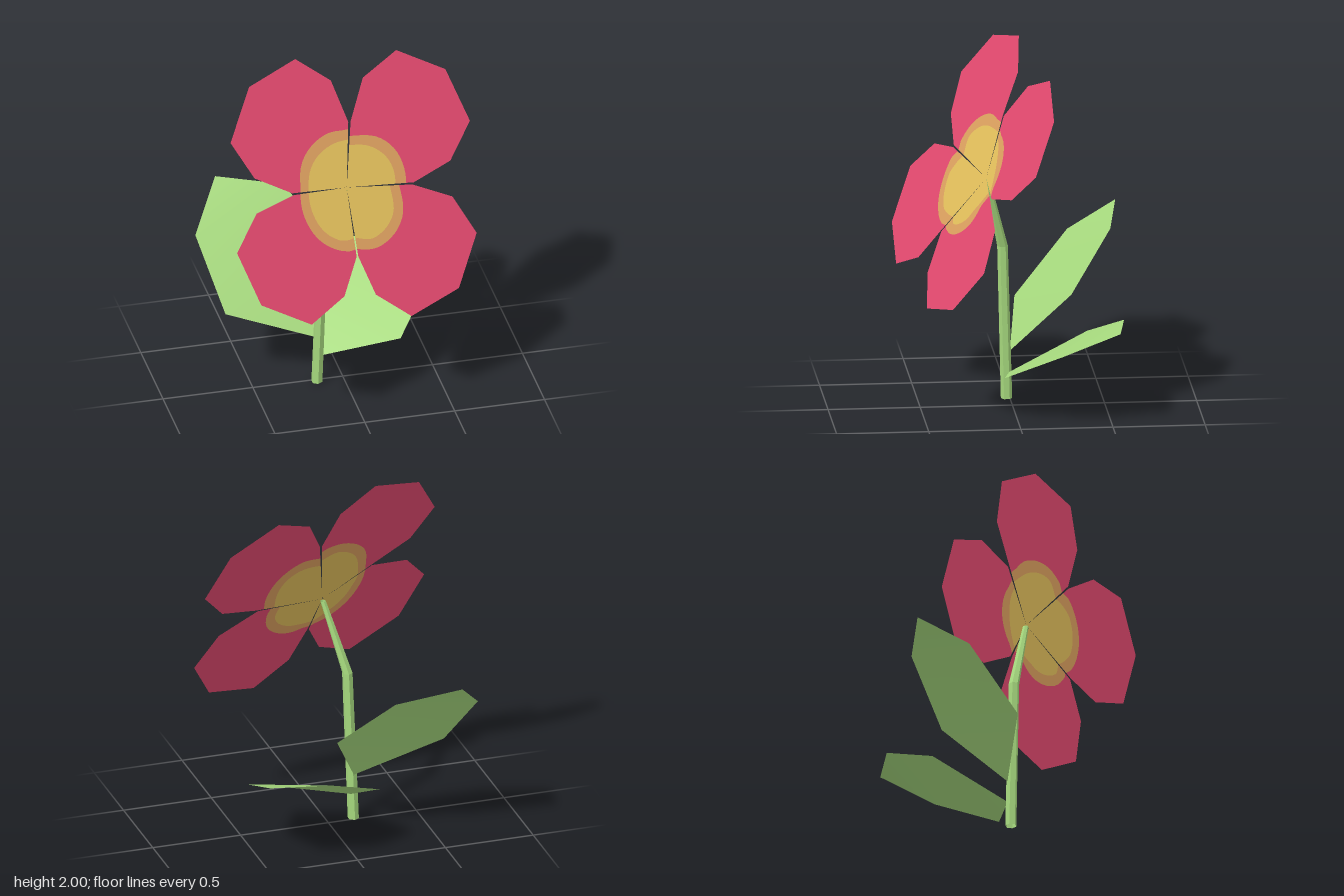
import * as THREE from 'three';

const mat = (name, color) => {
  const m = new THREE.MeshStandardMaterial({ color, side: THREE.DoubleSide });
  m.name = name;
  return m;
};

// Centre of the bloom, and the tilted plane in which the outer petals lie
const CX = -0.012, CY = 1.272, CZ = 0.14;
const outerPlane = (x, y) => 0.873 - 0.275 * x - 0.5 * y;
const bloomNormal = new THREE.Vector3(0.275, 0.5, 1).normalize().toArray();

// outline: petal corners clockwise as [x, y]; radii: edge of the gold patch
function petal(outline, radii, materials) {
  const rel = outline.map(([x, y]) => [x - CX, y - CY]);
  const first = rel[0], last = rel[rel.length - 1];
  const angleFrom = p => Math.acos(Math.min(1,
    (p[0] * first[0] + p[1] * first[1]) / Math.hypot(...p) / Math.hypot(...first)));
  const sweep = angleFrom(last);

  // Inner plane dips from the two base corners to the centre
  const d1 = outerPlane(...outline[0]) - CZ;
  const d2 = outerPlane(...outline[outline.length - 1]) - CZ;
  const det = first[0] * last[1] - first[1] * last[0];
  const a = (d1 * last[1] - d2 * first[1]) / det;
  const b = (first[0] * d2 - last[0] * d1) / det;
  const height = (x, y) => Math.min(outerPlane(x, y), CZ + a * (x - CX) + b * (y - CY));

  // Points along the outline, with the corners kept
  const SUB = 4, rim = [];
  for (let i = 0; i < rel.length - 1; i++) {
    for (let s = 0; s < SUB; s++) {
      const t = s / SUB;
      rim.push([0, 1].map(k => rel[i][k] * (1 - t) + rel[i + 1][k] * t));
    }
  }
  rim.push(last);

  // Rings: gold heart, orange border, then the petal blade
  const HEART = [0.3, 0.6, 0.8, 0.9, 1], BLADE = [0.08, 0.2, 0.5, 1];
  const patch = new THREE.SplineCurve(radii.map(r => new THREE.Vector2(0, r)));
  const rows = rim.map(p => {
    const len = Math.hypot(...p);
    const edge = patch.getPoint(Math.min(1, angleFrom(p) / sweep)).y;
    const reach = [...HEART.map(f => f * edge * 0.82), edge,
      ...BLADE.map(f => edge + (len - edge) * f)];
    return reach.map(r => {
      const x = CX + p[0] / len * r, y = CY + p[1] / len * r;
      return [x, y, height(x, y)];
    });
  });
  const rings = rows[0].length, n = rim.length;
  const pos = [CX, CY, CZ], index = [];
  for (let k = 0; k < rings; k++) rows.forEach(row => pos.push(...row[k]));
  for (let i = 0; i < n - 1; i++) index.push(0, 2 + i, 1 + i);
  for (let k = 0; k < rings - 1; k++) {
    for (let i = 0; i < n - 1; i++) {
      const p = 1 + k * n + i, q = p + n;
      index.push(p, p + 1, q, p + 1, q + 1, q);
    }
  }
  const g = new THREE.BufferGeometry();
  g.setAttribute('position', new THREE.Float32BufferAttribute(pos, 3));
  // One shared normal keeps the four petals evenly shaded
  const normals = Array.from({ length: pos.length / 3 }, () => bloomNormal).flat();
  g.setAttribute('normal', new THREE.Float32BufferAttribute(normals, 3));
  g.setIndex(index);
  const strip = (n - 1) * 6, heartEnd = strip * (HEART.length - 0.5);
  g.addGroup(0, heartEnd, 0);
  g.addGroup(heartEnd, strip, 1);
  g.addGroup(heartEnd + strip, strip * BLADE.length, 2);
  return new THREE.Mesh(g, materials);
}

// Leaf blade, bent across its width: base, two pairs of side corners, tip
function leaf(points, material) {
  const g = new THREE.BufferGeometry();
  g.setAttribute('position', new THREE.Float32BufferAttribute(points.flat(), 3));
  g.setIndex([0, 1, 2, 1, 3, 2, 2, 3, 4, 3, 5, 4]);
  g.computeVertexNormals();
  return new THREE.Mesh(g, material);
}

// Faceted open stem from [x, y, z, radius] stations
function stem(stations, sides, material) {
  const pos = [], index = [];
  stations.forEach(([x, y, z, r], k) => {
    for (let i = 0; i < sides; i++) {
      const t = (i + 0.5) / sides * Math.PI * 2;
      pos.push(x + Math.cos(t) * r, y, z + Math.sin(t) * r);
      if (k === 0) continue;
      const j = (i + 1) % sides, lo = (k - 1) * sides, hi = k * sides;
      index.push(lo + i, hi + i, lo + j, lo + j, hi + i, hi + j);
    }
  });
  const g = new THREE.BufferGeometry();
  g.setAttribute('position', new THREE.Float32BufferAttribute(pos, 3));
  g.setIndex(index);
  const flat = g.toNonIndexed();
  flat.computeVertexNormals();
  return new THREE.Mesh(flat, material);
}

export function createModel() {
  const model = new THREE.Group();
  model.name = 'flower';
  const green = mat('leaf green', 0xa7da7e);
  const bloomColours = [
    mat('heart gold', 0xe3c05c),
    mat('border orange', 0xdca05f),
    mat('petal pink', 0xe3496f),
  ];
  const add = (name, mesh, parent = model) => {
    mesh.name = name;
    parent.add(mesh);
  };

  // Four petals
  const bloom = new THREE.Group();
  bloom.name = 'bloom';
  model.add(bloom);
  add('upperRightPetal', petal([[-0.35, 1.368], [-0.56, 1.49], [-0.677, 1.69], [-0.535, 1.93],
    [-0.25, 2.0], [-0.057, 1.85], [0.018, 1.63]], [0.3, 0.35, 0.35, 0.32], bloomColours), bloom);
  add('upperLeftPetal', petal([[0.032, 1.63], [0.13, 1.82], [0.34, 1.905], [0.613, 1.748],
    [0.723, 1.47], [0.585, 1.308], [0.36, 1.255]], [0.28, 0.31, 0.33, 0.33], bloomColours), bloom);
  add('lowerLeftPetal', petal([[0.35, 1.247], [0.575, 1.135], [0.692, 0.93], [0.555, 0.693],
    [0.263, 0.625], [0.07, 0.775], [-0.008, 0.98]], [0.29, 0.33, 0.31, 0.26], bloomColours), bloom);
  add('lowerRightPetal', petal([[-0.018, 0.98], [-0.113, 0.81], [-0.32, 0.72], [-0.6, 0.88],
    [-0.708, 1.16], [-0.57, 1.32], [-0.345, 1.358]], [0.26, 0.26, 0.275, 0.3], bloomColours), bloom);

  // Bent stem
  add('stem', stem([[-0.148, 0, 0.018, 0.031], [-0.122, 0.86, 0.042, 0.029],
    [-0.015, 1.262, 0.136, 0.016]], 6, green));

  // Two leaves reaching backward
  add('rightLeaf', leaf([[-0.145, 0.265, 0], [0.055, 0.625, -0.315], [-0.635, 0.44, -0.07],
    [-0.2, 0.92, -0.55], [-0.73, 0.78, -0.365], [-0.56, 0.985, -0.61]], green));
  add('leftLeaf', leaf([[-0.13, 0.15, 0.005], [0.305, 0.235, 0.07], [-0.15, 0.365, -0.42],
    [0.54, 0.41, -0.225], [0.178, 0.512, -0.59], [0.51, 0.522, -0.54]], green));
  return model;
}
